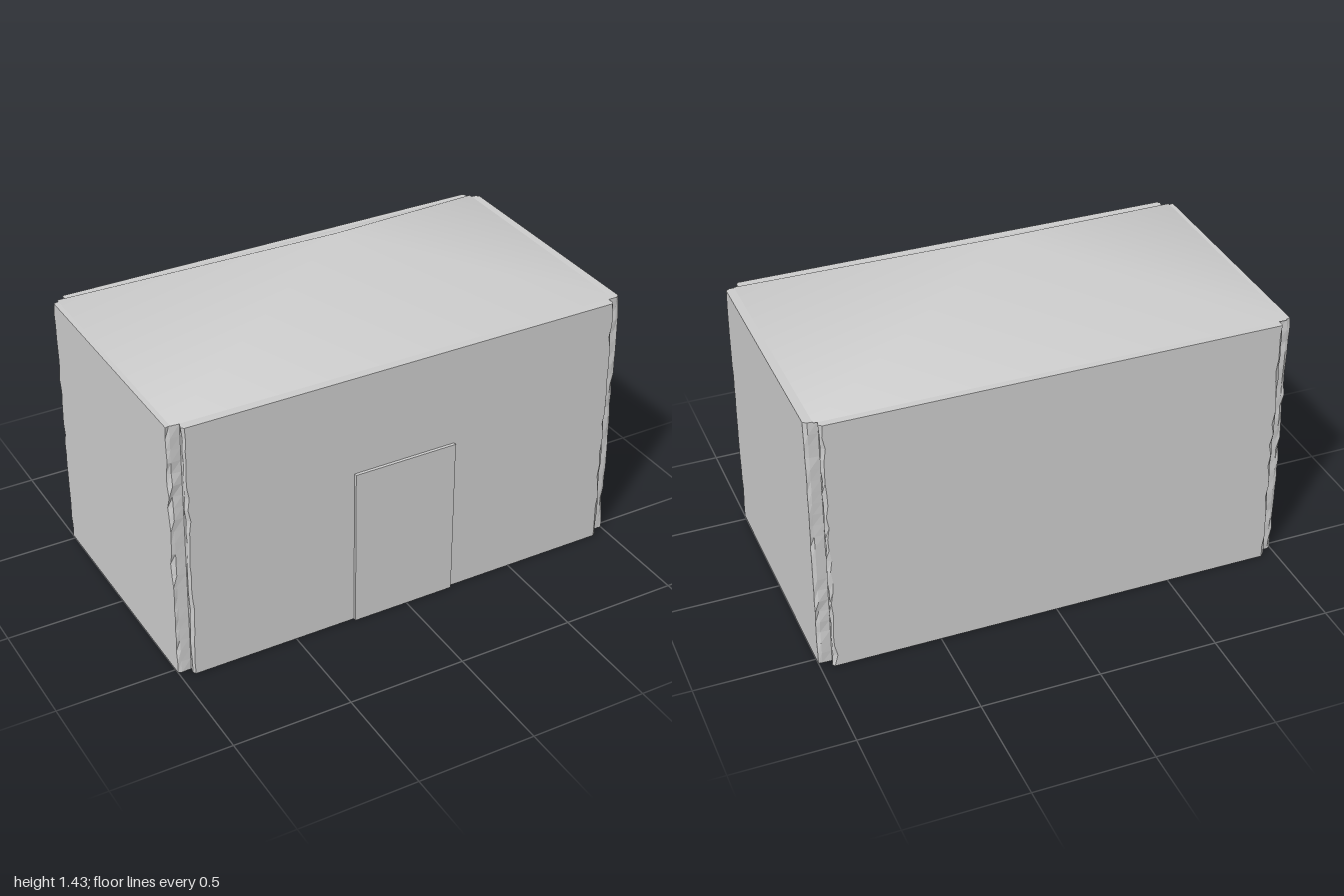
import * as THREE from 'three';

const WALL_H = 1.13, ROOF_Y = 1.43, LEVELS = 22;
const FRONT = 0.56, BACK = 0.567;

// small seeded generator for the chipped corners
function makeRandom(seed) {
  return () => (seed = (seed * 16807) % 2147483647) / 2147483647;
}

// geometry from a list of triangle corners, left unindexed for flat facets
function facets(points) {
  const geometry = new THREE.BufferGeometry().setFromPoints(points);
  geometry.computeVertexNormals();
  return geometry;
}

// one horizontal section of the walls: four notched corners with chipped edges
function wallSection(y, random) {
  const ring = [];
  [[1, 1], [-1, 1], [-1, -1], [1, -1]].forEach(([sx, sz], k) => {
    const depth = sz > 0 ? FRONT : BACK;
    const chip = () => 0.022 * random() * random();
    const corner = [
      [1, depth - 0.036 - chip()],
      [0.985, depth - 0.032 - 0.008 * random()],
      [0.945, depth - 0.036],
      [0.946 + 0.008 * random(), depth - 0.012],
      [0.945 - chip(), depth],
    ].map(([x, z]) => new THREE.Vector3(sx * x, y, sz * z));
    if (k % 2) corner.reverse();
    ring.push(...corner);
  });
  return ring;
}

export function createModel() {
  const group = new THREE.Group();
  const flat = new THREE.MeshStandardMaterial({
    color: 0xcccccc, flatShading: true, side: THREE.DoubleSide,
  });
  const smooth = new THREE.MeshStandardMaterial({ color: 0xcccccc, side: THREE.DoubleSide });
  const add = (name, geometry, material) => {
    const mesh = new THREE.Mesh(geometry, material);
    mesh.name = name;
    group.add(mesh);
    return mesh;
  };

  // walls: stacked sections, open at the bottom
  const random = makeRandom(71);
  const rings = [];
  for (let j = 0; j <= LEVELS; j++) rings.push(wallSection((WALL_H * j) / LEVELS, random));
  const points = [];
  for (let j = 0; j < LEVELS; j++) {
    const low = rings[j], high = rings[j + 1];
    low.forEach((a, i) => {
      const n = (i + 1) % low.length;
      points.push(a, high[i], low[n], low[n], high[i], high[n]);
    });
  }
  add('walls', facets(points), flat);

  // flat ledge closing the top of the walls
  const outline = rings[LEVELS].map((p) => new THREE.Vector2(p.x, -p.z));
  const ledge = new THREE.ShapeGeometry(new THREE.Shape(outline));
  ledge.rotateX(-Math.PI / 2).translate(0, WALL_H, 0);
  add('wallTop', ledge, flat);

  // shallow pyramid roof with blended normals
  const roof = new THREE.BufferGeometry().setFromPoints([
    new THREE.Vector3(-0.98, WALL_H + 0.002, 0.525),
    new THREE.Vector3(0.965, WALL_H + 0.002, 0.525),
    new THREE.Vector3(0.965, WALL_H + 0.002, -0.54),
    new THREE.Vector3(-0.98, WALL_H + 0.002, -0.54),
    new THREE.Vector3(-0.01, ROOF_Y, 0),
  ]);
  roof.setIndex([0, 1, 4, 1, 2, 4, 2, 3, 4, 3, 0, 4]);
  roof.computeVertexNormals();
  add('roof', roof, smooth);

  // door: a thin shell through the front wall, open towards the inside
  const door = new THREE.BoxGeometry(0.45, 0.702, 0.053);
  door.setIndex(Array.from(door.index.array).slice(0, 30));
  add('door', door, flat).position.set(-0.013, 0.351, 0.5465);

  return group;
}
